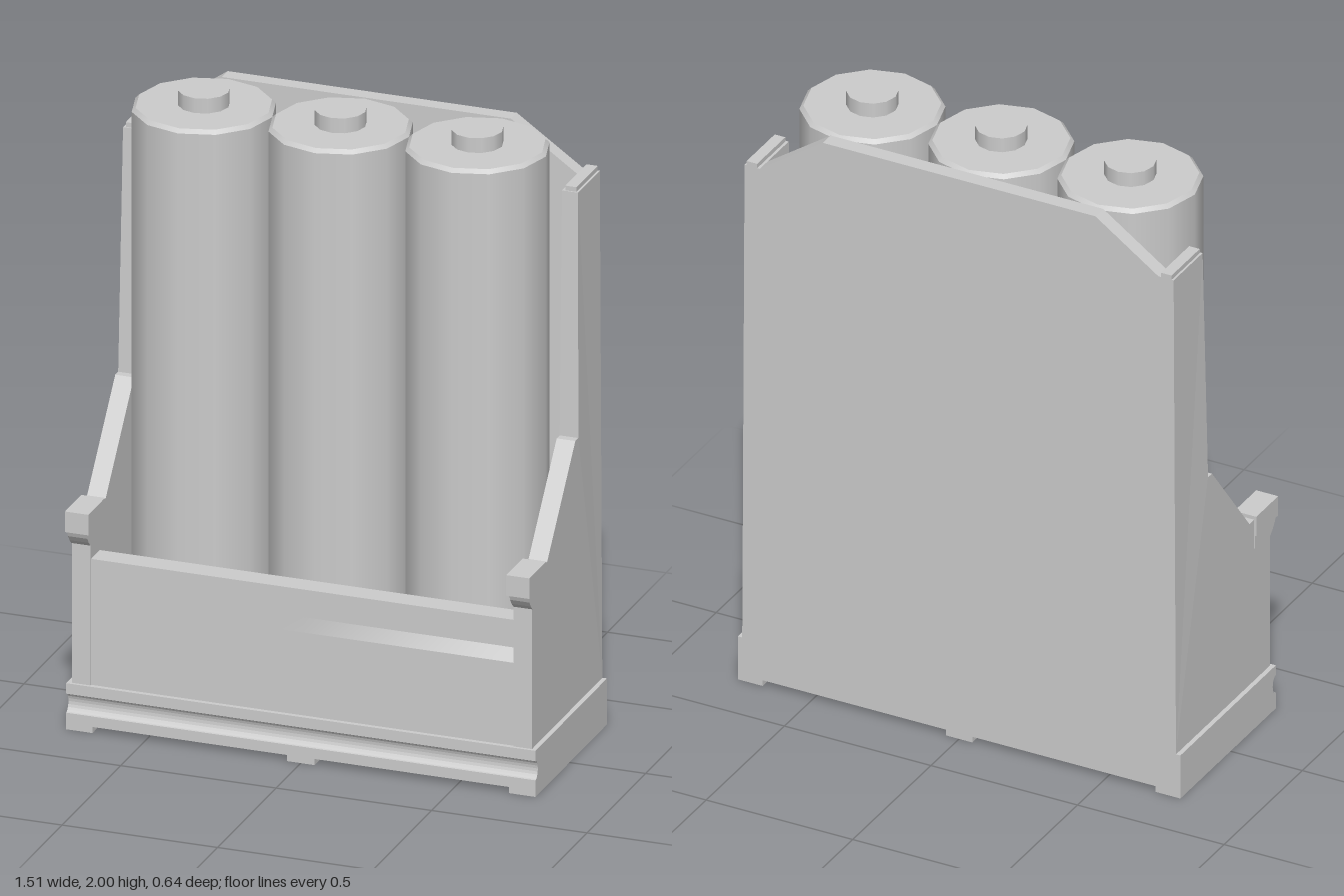
import * as THREE from 'three';

const grey = new THREE.MeshStandardMaterial({ color: 0xcccccc });

function add(parent, name, geometry) {
  const mesh = new THREE.Mesh(geometry, grey);
  mesh.name = name;
  parent.add(mesh);
  return mesh;
}

// Box given by its limits
function box(x0, x1, y0, y1, z0, z1) {
  return new THREE.BoxGeometry(x1 - x0, y1 - y0, z1 - z0)
    .translate((x0 + x1) / 2, (y0 + y1) / 2, (z0 + z1) / 2);
}

// Side profile of (z, y) points swept along x from x0 to x1
function sweepX(points, x0, x1) {
  const shape = new THREE.Shape(points.map(([z, y]) => new THREE.Vector2(z, y)));
  return new THREE.ExtrudeGeometry(shape, { depth: x1 - x0, bevelEnabled: false })
    .rotateY(-Math.PI / 2).translate(x1, 0, 0);
}

// Points of an arc from angle a0 to a1
function arc(cz, cy, rz, ry, a0, a1, n) {
  return Array.from({ length: n + 1 }, (_, i) => {
    const a = a0 + (a1 - a0) * i / n;
    return [cz + rz * Math.cos(a), cy + ry * Math.sin(a)];
  });
}

function rect(Type, x0, x1, y0, y1) {
  return new Type([[x0, y0], [x1, y0], [x1, y1], [x0, y1]].map(p => new THREE.Vector2(...p)));
}

// Foot running front to back, with pockets in its underside
function runner(x0, x1, p0, p1) {
  const shape = rect(THREE.Shape, x0, x1, -0.29, 0.32);
  for (let i = 0; i < 4; i++) {
    const y = -0.24 + i * 0.135;
    shape.holes.push(rect(THREE.Path, p0, p1, y, y + 0.1));
  }
  return new THREE.ExtrudeGeometry(shape, { depth: 0.02, bevelEnabled: false }).rotateX(-Math.PI / 2);
}

function createBase() {
  const base = new THREE.Group();
  base.name = 'base';
  add(base, 'plinth', sweepX([
    [-0.32, 0.02], [0.29, 0.02], [0.29, 0.05],
    ...arc(0.29, 0.085, 0.02, 0.031, -Math.PI / 2, -Math.PI * 1.5, 10),
    [0.29, 0.15], [-0.32, 0.15],
  ], -0.755, 0.755));
  add(base, 'rightRunner', runner(-0.755, -0.67, -0.725, -0.682));
  add(base, 'middleRunner', runner(-0.045, 0.045, -0.022, 0.022));
  add(base, 'leftRunner', runner(0.67, 0.755, 0.682, 0.725));
  return base;
}

function createSide(s) {
  const side = new THREE.Group();
  side.name = s > 0 ? 'leftSide' : 'rightSide';
  const span = (a, b) => (s > 0 ? [a, b] : [-b, -a]);

  // Stepped wall, its outer face leaning in slightly towards the top
  const wall = sweepX([
    [-0.32, 0.15], [0.28, 0.15], [0.28, 0.71], [0.15, 0.71],
    [-0.09, 1.01], [-0.115, 1.01], [-0.135, 1.80], [-0.32, 1.80],
  ], ...span(0.68, 0.74));
  const p = wall.attributes.position;
  for (let i = 0; i < p.count; i++) {
    if (Math.abs(p.getX(i)) > 0.7 && p.getY(i) > 1.02) p.setX(i, s * 0.732);
  }
  wall.computeVertexNormals();
  add(side, 'wall', wall);
  add(side, 'wallCap', box(...span(0.689, 0.725), 1.80, 1.815, -0.32, -0.14));

  // Catch at the front corner
  add(side, 'catchHead', box(...span(0.672, 0.747), 0.655, 0.722, 0.18, 0.32));
  add(side, 'catchNeck', sweepX([
    [0.18, 0.61], [0.28, 0.605], [0.295, 0.62], [0.308, 0.638], [0.315, 0.656], [0.18, 0.656],
  ], ...span(0.68, 0.742)));
  return side;
}

function createFrontPanel() {
  const panel = new THREE.Group();
  panel.name = 'frontPanel';
  add(panel, 'lowerPanel', box(-0.68, 0.68, 0.15, 0.42, 0.2, 0.275));
  add(panel, 'upperPanel', box(-0.68, 0.68, 0.47, 0.56, 0.2, 0.275));
  // Strip between them sinks in to form a tapering finger groove
  const strip = new THREE.BoxGeometry(1.36, 0.05, 0.075, 16, 1, 1).translate(0, 0.445, 0.2375);
  const p = strip.attributes.position;
  for (let i = 0; i < p.count; i++) {
    if (p.getZ(i) > 0.25 && p.getY(i) > 0.445) {
      p.setZ(i, 0.275 - 0.035 * Math.max(0, p.getX(i)) / 0.68);
    }
  }
  strip.computeVertexNormals();
  add(panel, 'grooveStrip', strip);
  return panel;
}

// Back plate with its top corners cut off
function createBack() {
  const shape = new THREE.Shape([
    [-0.7, 0.15], [0.7, 0.15], [0.7, 1.79], [0.68, 1.80], [0.465, 1.95],
    [-0.465, 1.95], [-0.68, 1.80], [-0.7, 1.79],
  ].map(p => new THREE.Vector2(...p)));
  return new THREE.ExtrudeGeometry(shape, { depth: 0.05, bevelEnabled: false }).translate(0, 0, -0.32);
}

function createCell(x) {
  const cell = new THREE.Group();
  cell.name = 'batteryCell';
  add(cell, 'cellBody', new THREE.CylinderGeometry(0.22, 0.22, 1.79, 12).translate(0, 1.045, 0));
  add(cell, 'cellShoulder', new THREE.CylinderGeometry(0.208, 0.22, 0.012, 12).translate(0, 1.946, 0));
  add(cell, 'cellTerminal', new THREE.CylinderGeometry(0.079, 0.079, 0.05, 12).translate(0, 1.975, 0));
  cell.position.set(x, 0, -0.05);
  return cell;
}

export function createModel() {
  const model = new THREE.Group();
  model.name = 'batteryHolder';
  model.add(createBase(), createSide(1), createSide(-1), createFrontPanel());
  add(model, 'backPlate', createBack());
  for (const x of [-0.44, 0, 0.44]) model.add(createCell(x));
  return model;
}
